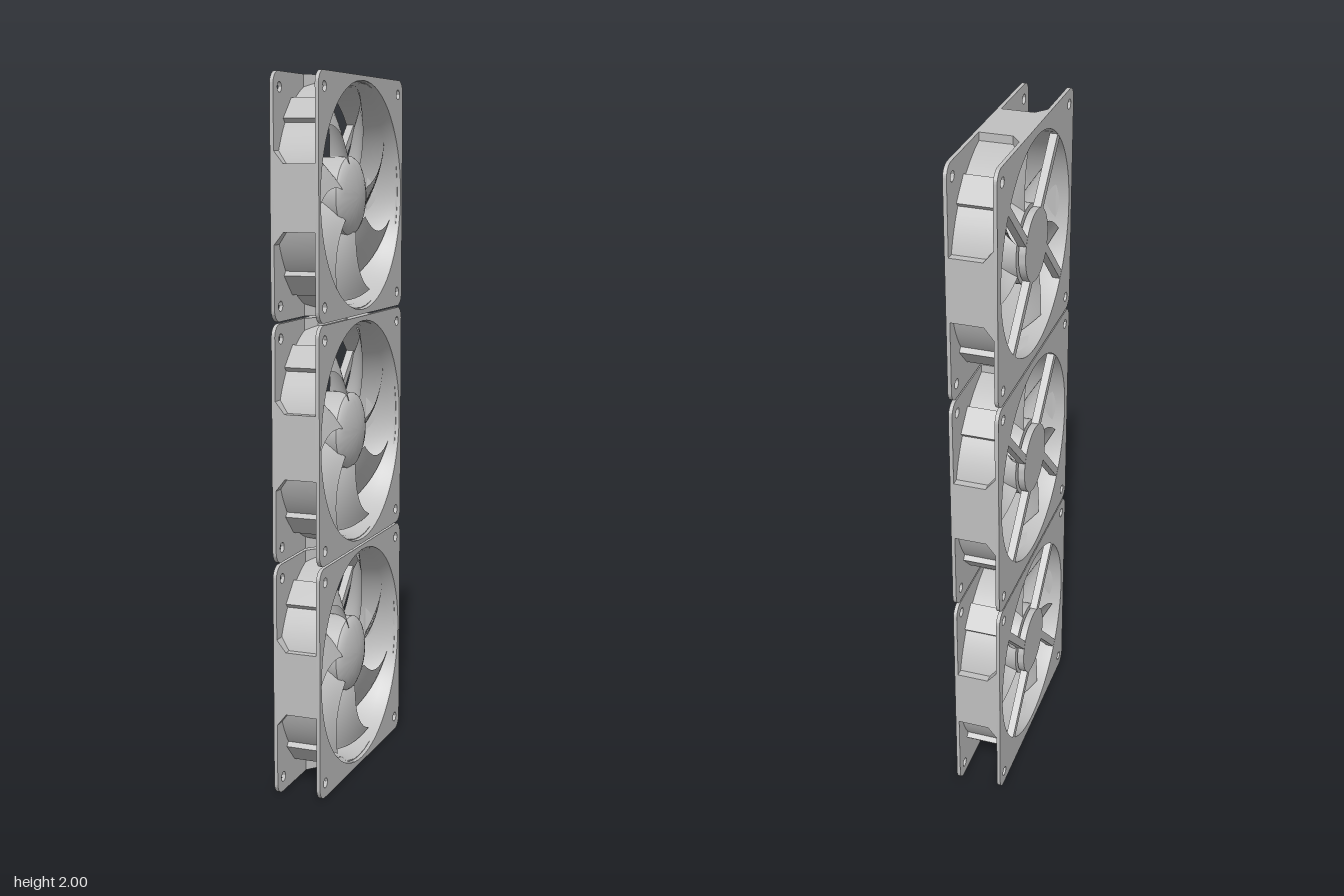
import * as THREE from 'three';
import { toCreasedNormals } from 'three/addons/utils/BufferGeometryUtils.js';

const HALF = 0.3315, DEPTH = 0.139, PLATE = 0.0105;
const BORE = 0.305, RING = 0.322;

const grey = new THREE.MeshStandardMaterial({ color: 0xc0c0c0, side: THREE.DoubleSide });
grey.name = 'grey plastic';

function part(name, geometry) {
  const mesh = new THREE.Mesh(geometry, grey);
  mesh.name = name;
  return mesh;
}

// Turned part whose axis is the fan axis (z); points are [radius, z]
function turned(points, segments = 64) {
  const geo = new THREE.LatheGeometry(points.map(p => new THREE.Vector2(...p)), segments);
  return toCreasedNormals(geo.rotateX(Math.PI / 2), 0.6);
}

// Square plate with rounded corners, a big opening and four screw holes
function flangeGeometry(openingRadius) {
  const s = new THREE.Shape(), c = HALF - 0.035;
  [0, 1, 2, 3].forEach(i => {
    const a = i * Math.PI / 2, m = a + Math.PI / 4;
    s.absarc(Math.sign(Math.cos(m)) * c, Math.sign(Math.sin(m)) * c, 0.035, a, a + Math.PI / 2, false);
  });
  const hole = (x, y, r) => s.holes.push(new THREE.Path().absarc(x, y, r, 0, Math.PI * 2, true));
  hole(0, 0, openingRadius);
  for (const x of [-0.29, 0.29]) for (const y of [-0.29, 0.29]) hole(x, y, 0.014);
  const geo = new THREE.ExtrudeGeometry(s, { depth: PLATE, bevelEnabled: false, curveSegments: 32 });
  return toCreasedNormals(geo, 0.6);
}

// Solid middle of one frame side, widened towards the back; its underside follows the ring
function sideBlockGeometry() {
  const f = -0.06, b = 0.06;
  const pts = [
    [-0.09, f], [-0.045, f], [0, f], [0.045, f], [0.09, f], [0.09, 0.032], [0.125, b],
    [0.09, b], [0.045, b], [0, b], [-0.045, b], [-0.09, b], [-0.125, b], [-0.09, 0.032],
  ];
  const shape = new THREE.Shape(pts.map(p => new THREE.Vector2(...p)));
  const geo = new THREE.ExtrudeGeometry(shape, { depth: HALF, bevelEnabled: false });
  geo.rotateX(-Math.PI / 2);
  const pos = geo.attributes.position;
  for (let i = 0; i < pos.count; i++) {
    if (pos.getY(i) < 0.1) pos.setY(i, Math.sqrt(0.314 ** 2 - pos.getX(i) ** 2));
  }
  geo.computeVertexNormals();
  return geo;
}

// Swept blade: s runs along the chord (its leading edge forward), t runs from hub to tip
function bladeGeometry() {
  const geo = new THREE.PlaneGeometry(1, 1, 10, 12);
  const pos = geo.attributes.position;
  for (let i = 0; i < pos.count; i++) {
    const s = pos.getX(i) + 0.5, t = pos.getY(i) + 0.5;
    const r = 0.1 + 0.196 * t;
    const trail = 226 + 20 * t;
    const lead = 272 + 22 * t ** 2;
    const a = THREE.MathUtils.degToRad(trail + (lead - trail) * s);
    const z = -0.046 + 0.092 * s + 0.012 * Math.sin(Math.PI * s);
    pos.setXYZ(i, r * Math.cos(a), r * Math.sin(a), z);
  }
  // radius grows with t and angle with s, so flip the winding to face forward
  const idx = geo.index.array;
  for (let i = 0; i < idx.length; i += 3) [idx[i], idx[i + 1]] = [idx[i + 1], idx[i]];
  geo.computeVertexNormals();
  return geo;
}

const h = DEPTH / 2;
const geos = {
  front: flangeGeometry(0.318),
  back: flangeGeometry(BORE + 0.003),
  ring: turned([[BORE, -h], [RING, -h], [RING, h - 0.001], [0.319, h - 0.001], [BORE, 0.035], [BORE, -h]], 96),
  block: sideBlockGeometry(),
  pad: new THREE.BoxGeometry(0.02, 0.08, DEPTH - PLATE * 2),
  strut: new THREE.BoxGeometry(0.235, 0.024, 0.022),
  motor: turned([[0, -h], [0.1, -h], [0.1, -0.05], [0, -0.05]]),
  hub: turned([[0, -0.046], [0.109, -0.046], [0.11, 0.03], [0.104, 0.038], [0.085, 0.047],
    [0.06, 0.055], [0.03, 0.06], [0, 0.062]]),
  blade: bladeGeometry(),
};

function makeFan() {
  const fan = new THREE.Group();
  fan.name = 'fan';

  // Frame
  const front = part('frontFlange', geos.front);
  front.position.z = h - PLATE;
  const back = part('backFlange', geos.back);
  back.position.z = -h;
  fan.add(front, back, part('boreRing', geos.ring));

  for (let i = 0; i < 4; i++) {
    const turn = i * Math.PI / 2, diagonal = turn + Math.PI / 4;
    const block = part('sideBlock', geos.block);
    block.rotation.z = turn;
    const pad = part('cornerPad', geos.pad);
    pad.position.set(Math.cos(diagonal) * 0.326, Math.sin(diagonal) * 0.326, 0);
    pad.rotation.z = diagonal;

    // Back struts run slightly off centre from the motor to the ring
    const arm = new THREE.Group();
    arm.name = 'strutArm';
    arm.rotation.z = diagonal;
    const strut = part('strut', geos.strut);
    strut.position.set(0.1925, -0.03, -h + 0.0115);
    arm.add(strut);
    fan.add(block, pad, arm);
  }

  // Motor and rotor
  const rotor = new THREE.Group();
  rotor.name = 'rotor';
  rotor.add(part('hub', geos.hub));
  for (let i = 0; i < 7; i++) {
    const blade = part('blade', geos.blade);
    blade.rotation.z = i * Math.PI * 2 / 7;
    rotor.add(blade);
  }
  fan.add(part('motorMount', geos.motor), rotor);
  return fan;
}

export function createModel() {
  const model = new THREE.Group();
  model.name = 'fanStack';
  for (const y of [HALF, 1, 2 - HALF]) {
    const fan = makeFan();
    fan.position.y = y;
    fan.rotation.y = Math.PI / 4;
    model.add(fan);
  }
  return model;
}
